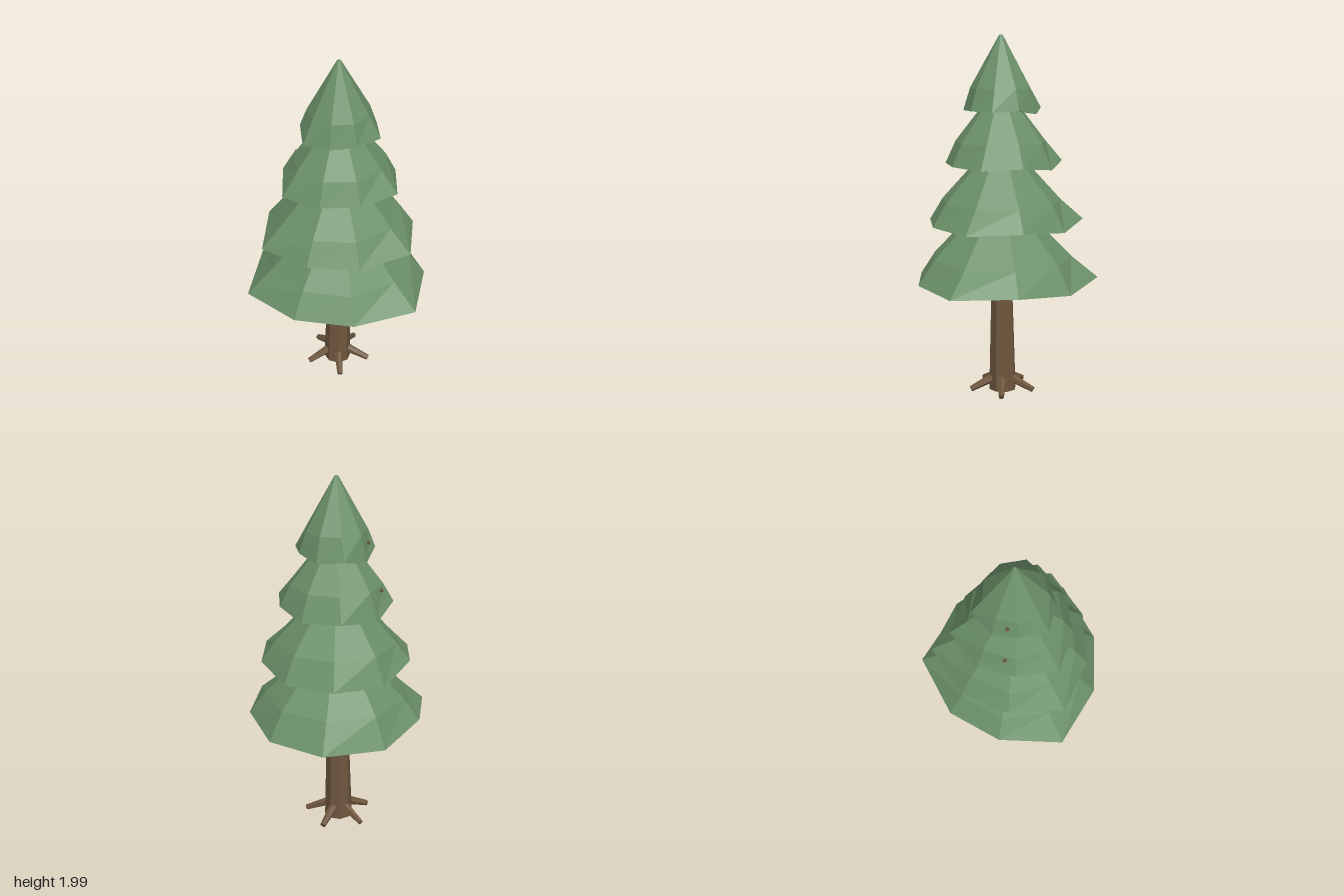
import * as THREE from 'three';

const SIDES = 9;
const AXIS_X = -0.05;
const GREEN = new THREE.MeshStandardMaterial({ color: 0x6b9068, flatShading: true });
const BROWN = new THREE.MeshStandardMaterial({ color: 0x6e563d, flatShading: true });

// Small height changes around the hem of each foliage tier
const HEM = [0, 0.005, -0.02, 0.005, -0.027, 0.022, -0.013, -0.005, 0];

// Point at an angle (from +x towards -z) and distance around a vertical axis
function polar(angle, r, y, cx = AXIS_X) {
  return new THREE.Vector3(cx + r * Math.cos(angle), y, -r * Math.sin(angle));
}

// Tapered limb between two points
function limb(name, a, b, ra, rb, sides) {
  const dir = b.clone().sub(a);
  const mesh = new THREE.Mesh(new THREE.CylinderGeometry(rb, ra, dir.length(), sides), BROWN);
  mesh.position.copy(a).add(b).multiplyScalar(0.5);
  mesh.quaternion.setFromUnitVectors(new THREE.Vector3(0, 1, 0), dir.normalize());
  mesh.name = name;
  return mesh;
}

// Faceted skirt: wavy three-pointed hem, round shoulder, narrow top, closed underside
function foliageTier(name, { radius, hemY, midY, topY, turn }) {
  const rings = [[], [], []];
  for (let i = 0; i < SIDES; i++) {
    const t = (i / SIDES) * Math.PI * 2;
    const a = t + turn;
    rings[0].push(polar(a, radius * (1 + 0.084 * Math.cos(3 * t)), hemY + HEM[i]));
    rings[1].push(polar(a, radius * 0.78, midY));
    rings[2].push(polar(a, 0.01, topY));
  }
  const under = new THREE.Vector3(AXIS_X, hemY, 0);
  const top = new THREE.Vector3(AXIS_X, topY, 0);
  const points = [];
  for (let i = 0; i < SIDES; i++) {
    const j = (i + 1) % SIDES;
    for (let k = 0; k < 2; k++) {
      const lo = rings[k], hi = rings[k + 1];
      points.push(lo[i], lo[j], hi[j], lo[i], hi[j], hi[i]);
    }
    points.push(under, rings[0][j], rings[0][i]);
    points.push(top, rings[2][i], rings[2][j]);
  }
  const geometry = new THREE.BufferGeometry().setFromPoints(points);
  geometry.computeVertexNormals();
  const mesh = new THREE.Mesh(geometry, GREEN);
  mesh.name = name;
  return mesh;
}

export function createModel() {
  const tree = new THREE.Group();
  tree.name = 'pineTree';

  // Trunk, leaning slightly and tapering up into the foliage
  const trunk = new THREE.CylinderGeometry(0.035, 0.078, 1.49, 8);
  trunk.translate(0, 0.755, 0);
  const p = trunk.attributes.position;
  for (let i = 0; i < p.count; i++) {
    p.setX(i, p.getX(i) - 0.072 + 0.022 * Math.min(1, p.getY(i) / 1.2));
  }
  trunk.computeVertexNormals();
  const trunkMesh = new THREE.Mesh(trunk, BROWN);
  trunkMesh.name = 'trunk';
  tree.add(trunkMesh);

  // Five roots spreading from the foot
  const roots = new THREE.Group();
  roots.name = 'roots';
  for (let i = 0; i < 5; i++) {
    const a = THREE.MathUtils.degToRad(27 + 72 * i);
    roots.add(limb('root', polar(a, 0.04, 0.085, -0.07), polar(a, 0.185, 0.022, -0.07), 0.027, 0.016, 6));
  }
  tree.add(roots);

  // Foliage tiers, each turned a little further than the one below
  const tiers = [
    { radius: 0.5, hemY: 0.66, midY: 0.79, topY: 1.18 },
    { radius: 0.425, hemY: 0.985, midY: 1.105, topY: 1.46 },
    { radius: 0.32, hemY: 1.31, midY: 1.43, topY: 1.74 },
    { radius: 0.213, hemY: 1.603, midY: 1.72, topY: 2.0 },
  ];
  tiers.forEach((tier, i) => tree.add(foliageTier('foliageTier' + (i + 1), { ...tier, turn: 0.1 * i })));

  // Twigs whose tips just break through the upper tiers
  const twigAngle = THREE.MathUtils.degToRad(199);
  tree.add(limb('upperTwig', polar(twigAngle, 0, 1.59), polar(twigAngle, 0.18, 1.665), 0.016, 0.01, 5));
  tree.add(limb('lowerTwig', polar(twigAngle, 0, 1.33), polar(twigAngle, 0.257, 1.41), 0.016, 0.01, 5));

  return tree;
}
